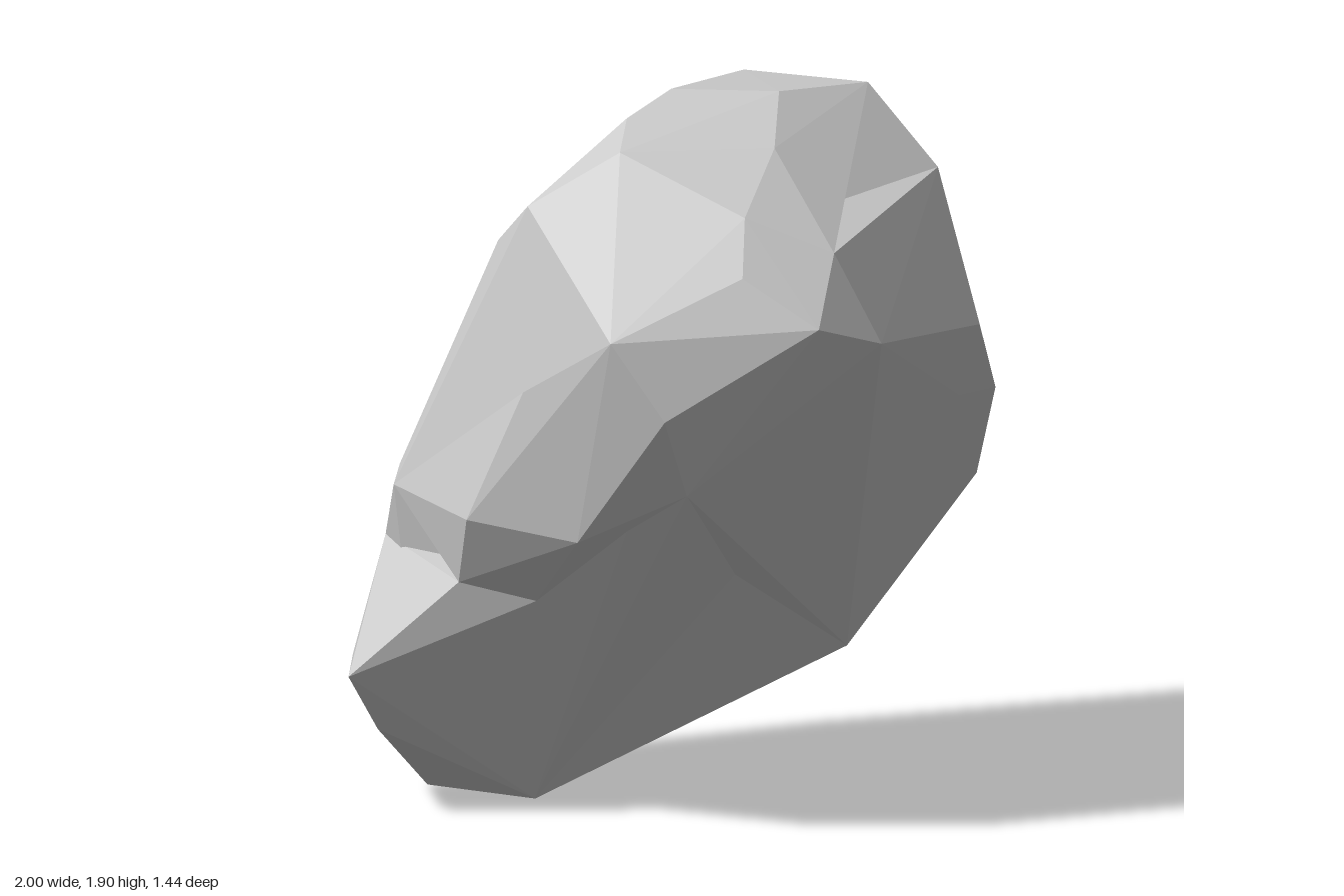
import * as THREE from 'three';
import { ConvexGeometry } from 'three/addons/geometries/ConvexGeometry.js';

const material = new THREE.MeshStandardMaterial({ color: 0xcccccc, flatShading: true });
const toVector = ([x, y, z]) => new THREE.Vector3(x, y, z);

// A faceted chunk of stone spanned by corner points; each dent pushes in the facet nearest to it
function chunk(name, corners, dents = []) {
  const position = new ConvexGeometry(corners.map(toVector)).attributes.position;
  const facets = [];
  for (let i = 0; i < position.count; i += 3) {
    facets.push(new THREE.Triangle().setFromAttributeAndIndices(position, i, i + 1, i + 2));
  }
  for (const dent of dents.map(toVector)) {
    const distance = (f) => f.closestPointToPoint(dent, new THREE.Vector3()).distanceTo(dent);
    const nearest = facets.reduce((best, f) => (distance(f) < distance(best) ? f : best));
    const { a, b, c } = nearest;
    facets.splice(facets.indexOf(nearest), 1,
      new THREE.Triangle(a, b, dent), new THREE.Triangle(b, c, dent), new THREE.Triangle(c, a, dent));
  }
  const geometry = new THREE.BufferGeometry().setFromPoints(facets.flatMap((f) => [f.a, f.b, f.c]));
  geometry.computeVertexNormals();
  const mesh = new THREE.Mesh(geometry, material);
  mesh.name = name;
  return mesh;
}

// Corners shared between neighbouring chunks
const bottomFront = [-0.41, 0, -0.25];
const bottomBack = [-0.58, 0, -0.54];
const notchFront = [-0.59, 0.62, 0.1];
const notchSide = [-0.77, 0.67, 0];
const notchBack = [-0.7, 0.69, -0.55];
const sideBack = [-0.76, 0.86, -0.39];
const backLow = [-0.5, 0.73, -0.72];
const browSide = [-0.62, 1.41, 0.58];
const browLow = [-0.5, 1.2, 0.66];
const chin = [-0.36, 0.96, 0.52];

// Crown and upper slopes
const crown = [
  [-0.04, 1.9, -0.18], [0.22, 1.89, -0.06], [0.57, 1.85, -0.22],
  [0.33, 1.86, -0.47], [-0.07, 1.73, -0.39], [-0.23, 1.86, -0.07],
  [-0.34, 1.81, 0.1], [-0.59, 1.68, 0.05], [-0.51, 1.52, -0.27],
  [0.07, 1.8, 0.2], [-0.15, 1.68, 0.45], [-0.23, 1.55, 0.59],
  [0.07, 1.58, 0.54], [0.69, 1.64, -0.05],
];
// Ridge around the widest part
const ridge = [
  browSide, browLow, [-0.07, 1.42, 0.72], [0.17, 1.34, 0.62],
  [0.71, 1.25, 0.15], [0.92, 1, -0.16], [0.92, 1.25, -0.35],
  [0.8, 1.52, -0.37], [0.53, 1.59, -0.57], [1, 0.71, -0.42],
  [0.7, 1.04, 0.05], [0.71, 1.1, -0.53],
];
// Underside and back
const base = [
  bottomFront, bottomBack, notchFront, chin, sideBack, notchBack, backLow,
  [0.57, 0.3, -0.34], [0.88, 0.51, -0.55], [-0.07, 0.95, -0.71],
  [0.62, 0.89, -0.6], [-0.54, 1.13, -0.53], [-0.71, 0.9, -0.45],
];
// Hollows in the back, the underside and the upper front
const hollows = [[0.13, 1.18, -0.45], [0.01, 0.63, 0.09], [0.27, 1.64, 0.2]];

export function createModel() {
  const rock = new THREE.Group();
  rock.name = 'rock';
  rock.add(
    chunk('mainBoulder', [...crown, ...ridge, ...base], hollows),
    // Bulge above the notch
    chunk('sideBulge', [browSide, browLow, chin, notchFront, notchSide, sideBack,
      [-0.74, 1.24, 0.31], [-0.82, 0.87, 0.14], [-0.63, 0.84, 0.41]]),
    // Spur below the notch
    chunk('footSpur', [bottomFront, bottomBack, notchFront, notchSide, notchBack, backLow,
      [-1, 0.4, -0.19], [-0.85, 0.4, -0.45], [-0.87, 0.23, -0.27]]),
  );
  return rock;
}
